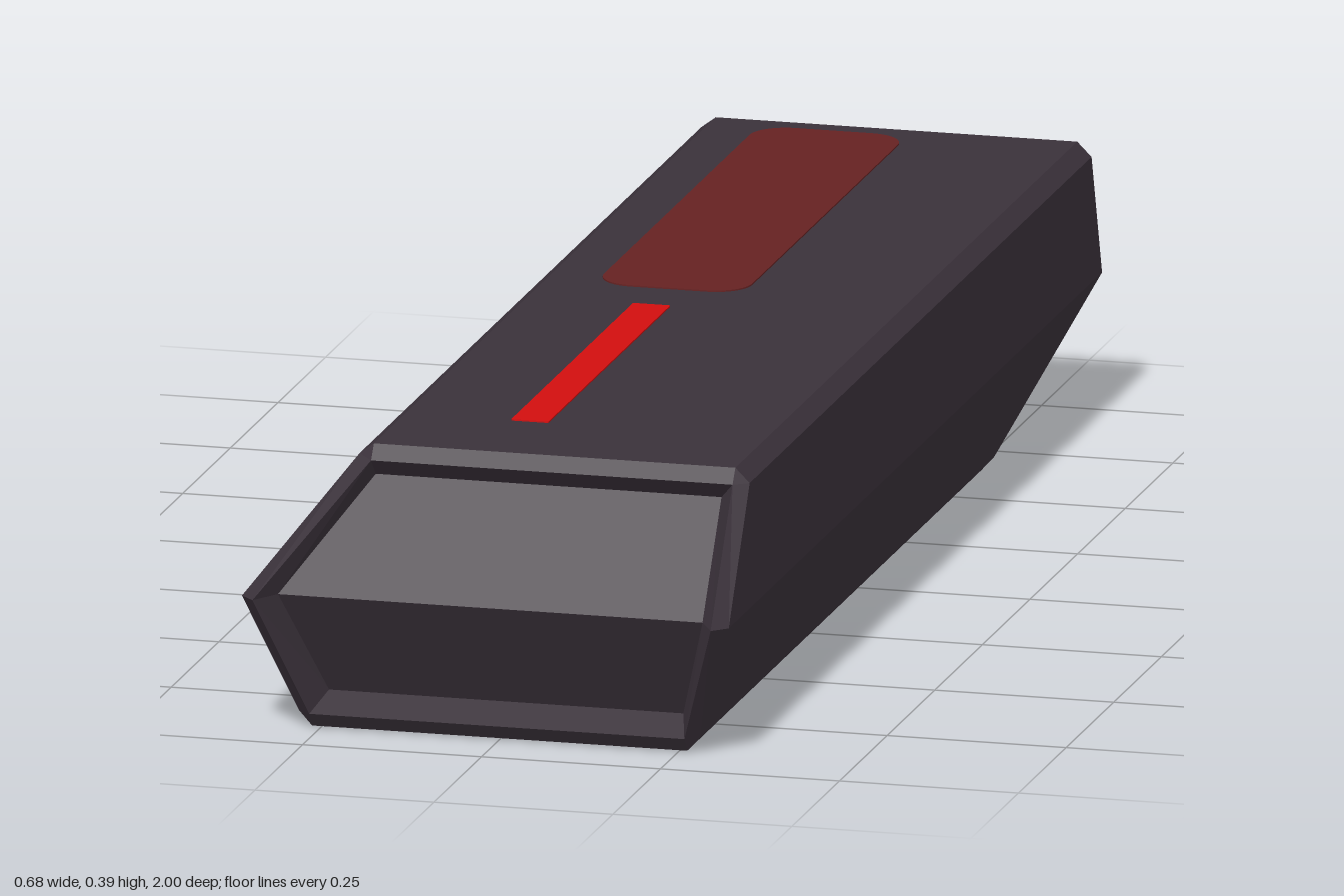
import * as THREE from 'three';

const mat = (name, color, side = THREE.FrontSide) => {
  const m = new THREE.MeshStandardMaterial({ color, flatShading: true, side });
  m.name = name;
  return m;
};

// Flat-faced geometry from polygons (fanned), skipping collapsed triangles
function facesGeometry(polys) {
  const pos = [];
  for (const p of polys) {
    for (let i = 1; i < p.length - 1; i++) {
      const t = [p[0], p[i], p[i + 1]];
      const area = new THREE.Triangle(...t.map(v => new THREE.Vector3(...v))).getArea();
      if (area > 1e-7) pos.push(...t.flat());
    }
  }
  const g = new THREE.BufferGeometry();
  g.setAttribute('position', new THREE.Float32BufferAttribute(pos, 3));
  g.computeVertexNormals();
  return g;
}

// Quads joining two rings of equal length
const bridge = (a, b) => a.map((p, i) => {
  const j = (i + 1) % a.length;
  return [p, a[j], b[j], b[i]];
});

// Ring of [x, y] points given depth by height: low, middle or high
const ring = (pts, low, mid, high) =>
  pts.map(([x, y]) => [x, y, y < 0.1 ? low : y < 0.3 ? mid : high]);

// Thin plate outline with rounded corners
function roundedRect(x0, x1, y0, y1, r) {
  const s = new THREE.Shape();
  s.absarc(x1 - r, y0 + r, r, -Math.PI / 2, 0);
  s.absarc(x1 - r, y1 - r, r, 0, Math.PI / 2);
  s.absarc(x0 + r, y1 - r, r, Math.PI / 2, Math.PI);
  s.absarc(x0 + r, y0 + r, r, Math.PI, Math.PI * 1.5);
  return s;
}

export function createModel() {
  const model = new THREE.Group();
  model.name = 'beveledBlock';
  const shell = mat('dark plum shell', 0x3a313a);
  const darkRed = mat('dark red', 0x662222);
  const red = mat('bright red', 0xd20e0e);
  const yellow = mat('yellow', 0xdcdc10, THREE.DoubleSide);

  const add = (name, geometry, material) => {
    const m = new THREE.Mesh(geometry, material);
    m.name = name;
    model.add(m);
    return m;
  };

  // Cross-sections, counter-clockwise seen from the front
  const outer = [[-0.262, 0], [0.262, 0], [0.28, 0.02], [0.34, 0.195], [0.34, 0.37],
    [0.32, 0.39], [-0.185, 0.39], [-0.205, 0.375], [-0.34, 0.195], [-0.28, 0.02]];
  const rim = [[-0.262, 0.02], [0.262, 0.02], [0.32, 0.195], [0.32, 0.37], [-0.185, 0.37], [-0.32, 0.195]];
  const inset = [[-0.245, 0.045], [0.25, 0.045], [0.298, 0.195], [0.298, 0.345], [-0.185, 0.345], [-0.295, 0.195]];
  const match = [0, 1, 1, 2, 3, 3, 4, 4, 5, 0]; // rim corner for each outer corner

  const frontOuter = ring(outer, 0.905, 0.98, 0.87);
  const frontRim = ring(rim, 0.92, 1, 0.885);
  const frontPanel = ring(inset, 0.88, 0.96, 0.86);
  const backOuter = ring(outer, -0.64, -0.98, -0.925);
  const backRim = ring(rim, -0.655, -1, -0.94);
  const expand = r => match.map(i => r[i]);
  const caps = r => [[r[0], r[1], r[2], r[5]], [r[5], r[2], r[3], r[4]]];

  // Long shell with beveled ends
  add('shell', facesGeometry([
    ...bridge(backOuter, frontOuter),
    ...bridge(frontOuter, expand(frontRim)),
    ...bridge(expand(backRim), backOuter),
  ]), shell);

  // Recessed wedge at the front, closed wedge at the back
  add('frontRecess', facesGeometry([...bridge(frontRim, frontPanel), ...caps(frontPanel)]), shell);
  add('backFace', facesGeometry(caps(backRim).map(p => p.reverse())), shell);

  // Painted plates on the top and underside
  const plate = (name, shape, material, top) => {
    const g = new THREE.ExtrudeGeometry(shape, { depth: 0.003, bevelEnabled: false, curveSegments: 6 });
    g.rotateX(top ? -Math.PI / 2 : Math.PI / 2);
    add(name, g, material).position.y = top ? 0.389 : 0.001;
  };
  plate('topPatch', roundedRect(-0.115, 0.092, 0.025, 0.89, 0.05), darkRed, true);
  plate('topStripe', roundedRect(-0.037, 0.015, -0.705, -0.065, 0.002), red, true);

  const under = new THREE.Shape([[-0.18, -0.56], [-0.12, -0.55], [-0.1, -0.05], [0.03, 0.05],
    [0.06, 0.16], [0.03, 0.42], [-0.06, 0.53], [-0.1, 0.3], [-0.15, 0.1], [-0.17, -0.05]]
    .map(p => new THREE.Vector2(...p)));
  plate('undersidePatch', under, darkRed, false);
  plate('undersideMark', roundedRect(-0.03, 0, 0.65, 0.78, 0.01), darkRed, false);

  // Yellow lights lying on the two sloping back faces
  const lowZ = y => -0.663 - (y - 0.02) * 1.971;
  const highZ = y => -1.004 + (y - 0.195) * 0.343;
  const backQuad = (x0, x1, y0, y1, z) => facesGeometry([[
    [x1, y0, z(y0)], [x0, y0, z(y0)], [x0, y1, z(y1)], [x1, y1, z(y1)]]]);
  add('lowerBackLight', backQuad(-0.215, 0.2, 0.062, 0.165, lowZ), yellow);
  add('upperBackLight', backQuad(-0.157, 0.25, 0.271, 0.286, highZ), yellow);

  return model;
}
